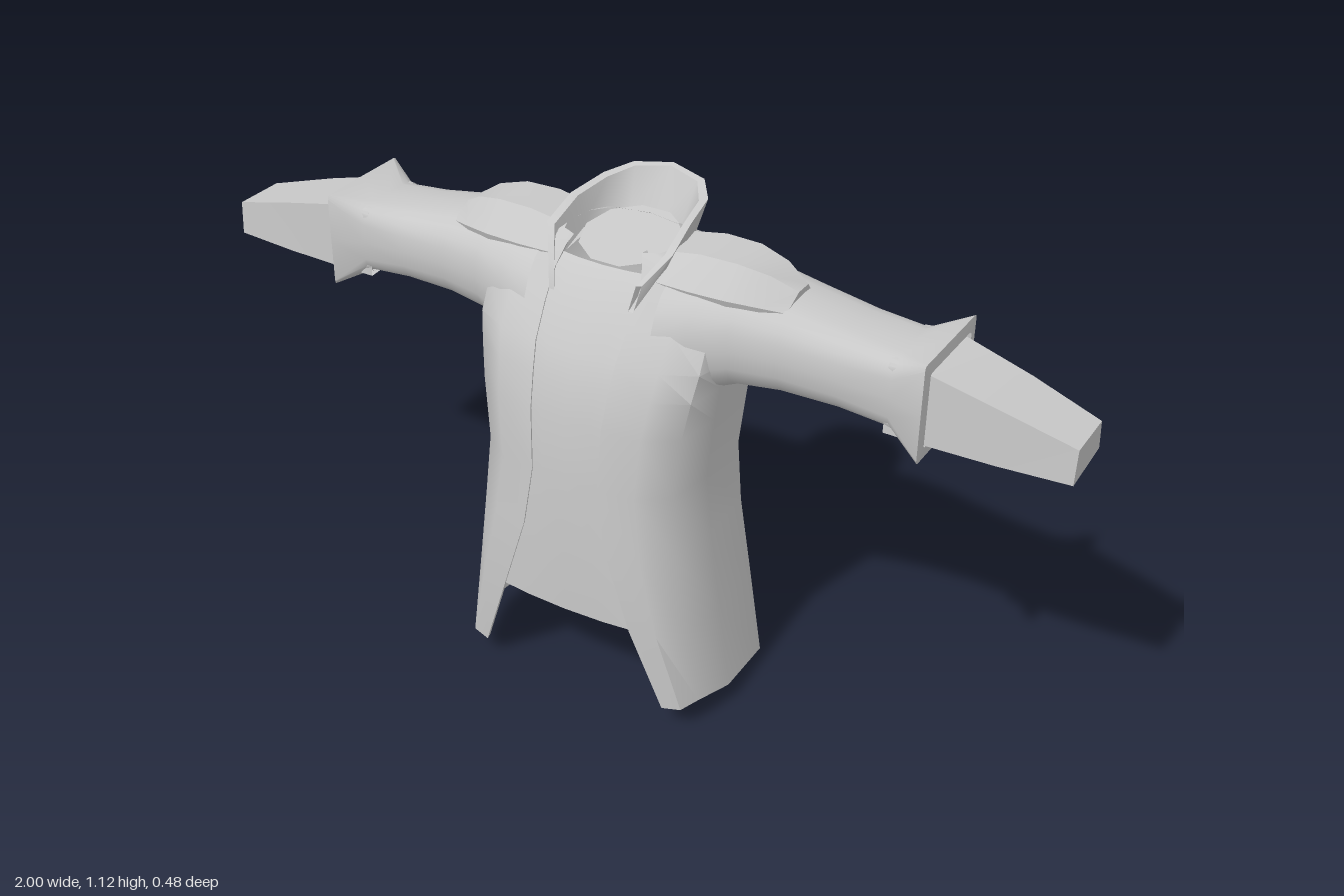
import * as THREE from 'three';
import { toCreasedNormals } from 'three/addons/utils/BufferGeometryUtils.js';

const cloth = new THREE.MeshStandardMaterial({ color: 0xc8c8c8, side: THREE.DoubleSide });
cloth.name = 'grey cloth';

// Skins a list of cross-sections; closed joins each section into a loop, cap fills the last one
function loft(name, rings, { closed = false, cap = false, crease = 0.9 } = {}) {
  const n = rings[0].length, index = [];
  for (let i = 0; i < rings.length - 1; i++) {
    for (let j = 0; j < (closed ? n : n - 1); j++) {
      const k = (j + 1) % n, a = i * n + j, b = i * n + k;
      index.push(a, b, a + n, b, b + n, a + n);
    }
  }
  if (cap) {
    const s = (rings.length - 1) * n;
    for (let j = 1; j < n - 1; j++) index.push(s, s + j, s + j + 1);
  }
  const g = new THREE.BufferGeometry();
  g.setAttribute('position', new THREE.Float32BufferAttribute(rings.flat(2), 3));
  g.setIndex(index);
  const mesh = new THREE.Mesh(toCreasedNormals(g, crease), cloth);
  mesh.name = name;
  return mesh;
}

// Body levels: y, front edge x, front z, side x, back z
const levels = [
  [0.06, 0.23, 0.21, 0.313, -0.237],
  [0.25, 0.16, 0.232, 0.285, -0.21],
  [0.44, 0.1, 0.235, 0.258, -0.19],
  [0.58, 0.08, 0.228, 0.244, -0.198],
  [0.72, 0.085, 0.22, 0.258, -0.212],
  [0.8, 0.09, 0.2, 0.27, -0.217],
  [0.86, 0.095, 0.18, 0.28, -0.212],
  [0.93, 0.1, 0.135, 0.28, -0.2],
  [0.99, 0.1, 0.095, 0.26, -0.18],
  [1.03, 0.09, 0.07, 0.19, -0.145],
  [1.05, 0.08, 0.055, 0.12, -0.11],
];
const hem = [0.055, 0.06, 0.065, 0.05, 0.035, 0.005, 0.065];

// Half section of the coat, from the front edge to the middle of the back
function coatHalf([y, xe, zf, xs, zb], i) {
  return [
    [xe, zf], [(xe + xs) / 2, zf - 0.01], [xs * 0.93, zf * 0.74], [xs, Math.min(0.06, zf * 0.35)],
    [xs * 0.97, zb * 0.45], [xs * 0.65, zb * 0.86], [0, zb],
  ].map(([x, z], j) => [x, i === 0 ? hem[j] : y, z]);
}
const flip = ([x, y, z]) => [-x, y, z];

// Rounded-square section across the arm
function armRing([x, y0, y1, z0, z1, power], count = 24) {
  return Array.from({ length: count }, (_, i) => {
    const t = (i / count) * Math.PI * 2;
    const soft = v => Math.sign(v) * Math.pow(Math.abs(v), 2 / power);
    const c = Math.abs(Math.cos(t)) < 1e-6 ? 0 : Math.cos(t);
    const s = Math.abs(Math.sin(t)) < 1e-6 ? 0 : Math.sin(t);
    return [x, (y0 + y1) / 2 + soft(c) * (y1 - y0) / 2, (z0 + z1) / 2 + soft(s) * (z1 - z0) / 2];
  });
}

function createArm() {
  const arm = new THREE.Group();
  arm.name = 'arm';

  // Sleeve flaring into a square cuff
  arm.add(loft('sleeve', [
    [0.15, 0.72, 1.035, -0.195, 0.14, 2.3],
    [0.22, 0.765, 1.03, -0.19, 0.125, 2.4],
    [0.3, 0.8, 1.02, -0.177, 0.1, 2.6],
    [0.4, 0.81, 1.005, -0.16, 0.08, 2.7],
    [0.52, 0.81, 0.983, -0.15, 0.065, 3],
    [0.63, 0.805, 0.97, -0.14, 0.058, 4],
    [0.705, 0.773, 0.99, -0.166, 0.078, 30],
  ].map(r => armRing(r)), { closed: true }));

  // Cuff rim and its inside
  arm.add(loft('cuff', [
    [0.705, 0.773, 0.99, -0.166, 0.078, 30],
    [0.708, 0.8, 0.965, -0.14, 0.055, 30],
    [0.62, 0.81, 0.965, -0.135, 0.052, 8],
  ].map(r => armRing(r)), { closed: true, crease: 0.5 }));

  // Tapering inner sleeve with a closed end
  arm.add(loft('forearm', [
    [0.62, 0.805, 0.955, -0.13, 0.05],
    [0.7, 0.806, 0.958, -0.137, 0.053],
    [0.85, 0.807, 0.924, -0.118, 0.05],
    [1, 0.81, 0.885, -0.093, 0.042],
  ].map(([x, y0, y1, z0, z1]) => [
    [x, y1, z0 + 0.01], [x, y1, z1 - 0.005], [x, y0, z1], [x, y0 + 0.01, z0],
  ]), { closed: true, cap: true, crease: 0.6 }));

  // Shoulder pad
  arm.add(loft('shoulderPad', [
    [0.125, 1, 1.055, -0.1, 0.08],
    [0.2, 1, 1.068, -0.102, 0.082],
    [0.28, 1, 1.067, -0.1, 0.078],
    [0.345, 0.995, 1.05, -0.092, 0.06],
    [0.395, 0.985, 1.018, -0.08, 0.035],
  ].map(([x, y0, y1, z0, z1]) => [
    [x, y0, z0], [x, y1, z0 + 0.025], [x, y1, z1 - 0.05], [x, y0 + 0.008, z1], [x, y0 - 0.02, z1 - 0.01],
  ]), { closed: true, cap: true, crease: 0.5 }));
  return arm;
}

export function createModel() {
  const model = new THREE.Group();
  model.name = 'coat';

  // Coat body, open down the front
  const halves = levels.map(coatHalf);
  model.add(loft('coatBody', halves.map(h => [...h, ...h.slice(0, -1).reverse().map(flip)])));

  // Thickness of the coat along its front edges
  for (const side of [1, -1]) {
    model.add(loft('frontEdge', halves.map(h => {
      const [x, y, z] = h[0];
      const strip = [[side * (x + 0.004), y, z - 0.016], [side * x, y, z]];
      return side > 0 ? strip : strip.reverse();
    })));
  }

  // Shirt front, ending in a straight hem
  model.add(loft('shirtFront', levels.slice(1, 10).map(([y, xe, zf]) =>
    [-1, -0.5, 0, 0.5, 1].map(t => [t * (xe + 0.03), y === 1.03 ? 1.01 : y, zf + 0.004 - 0.014 * t * t]))));

  // Closed neck opening
  const neck = new THREE.Mesh(new THREE.CircleGeometry(0.108, 10), cloth);
  neck.name = 'neck';
  neck.rotation.x = -Math.PI / 2 + 0.18;
  neck.position.set(0, 1.03, -0.035);
  model.add(neck);

  // Standing collar: lower and upper edge points, from the front tip to the back
  const collar = [
    [0.1, 0.95, 0.12, 0.11, 1.005, 0.105],
    [0.125, 0.99, 0.07, 0.148, 1.06, 0.05],
    [0.128, 1.02, -0.03, 0.142, 1.093, -0.03],
    [0.108, 1.03, -0.11, 0.125, 1.104, -0.13],
    [0.07, 1.03, -0.145, 0.085, 1.117, -0.185],
    [0, 1.02, -0.155, 0, 1.127, -0.205],
  ].map(([x0, y0, z0, x1, y1, z1]) => {
    const inner = (x, y, z) => [x * 0.88, y, z < -0.1 ? z + 0.012 : z];
    return [[x0, y0, z0], inner(x0, y0, z0), inner(x1, y1 - 0.003, z1), [x1, y1, z1]];
  });
  const collarRings = [...collar, ...collar.slice(0, -1).reverse().map(r => r.map(flip))];
  model.add(loft('collar', collarRings, { closed: true, cap: true, crease: 0.7 }));

  // Arms, mirrored
  const leftArm = createArm();
  const rightArm = createArm();
  leftArm.name = 'leftArm';
  rightArm.name = 'rightArm';
  rightArm.scale.x = -1;
  model.add(leftArm, rightArm);
  return model;
}
